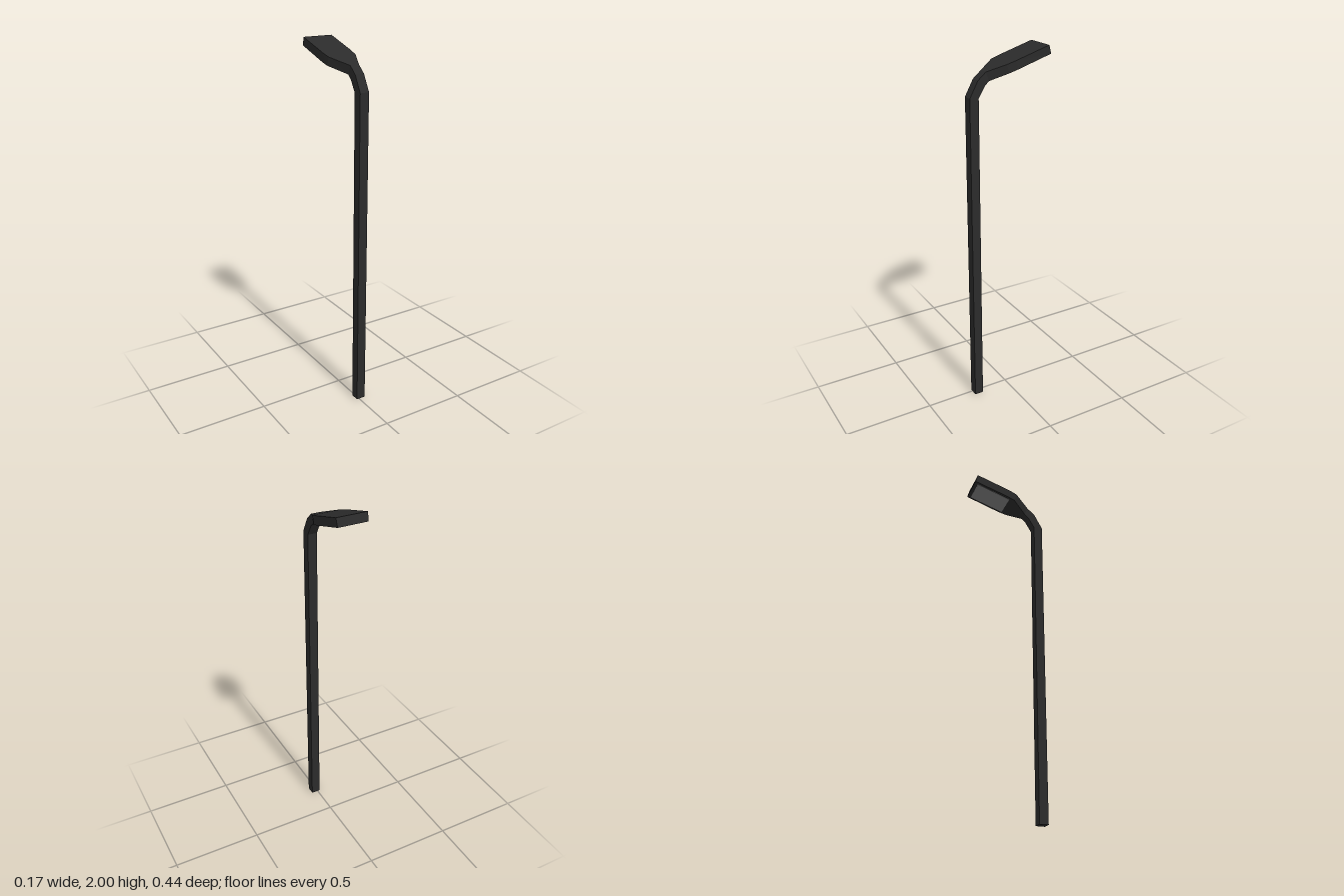
import * as THREE from 'three';

// Skin four-cornered sections: each is [outer z, y, x min, x max, inner z, y, x min, x max]
function loft(sections) {
  const rings = sections.map(([oz, oy, ol, or, iz, iy, il, ir]) => [
    [ol, oy, oz], [or, oy, oz], [ir, iy, iz], [il, iy, iz],
  ]);
  const pos = [];
  const quad = (a, b, c, d) => pos.push(...a, ...b, ...c, ...a, ...c, ...d);
  for (let i = 0; i < rings.length - 1; i++) {
    const a = rings[i], b = rings[i + 1];
    for (let k = 0; k < 4; k++) {
      const n = (k + 1) % 4;
      quad(a[k], a[n], b[n], b[k]);
    }
  }
  const s = rings[0], e = rings[rings.length - 1];
  quad(s[0], s[3], s[2], s[1]);
  quad(e[0], e[1], e[2], e[3]);
  const geo = new THREE.BufferGeometry();
  geo.setAttribute('position', new THREE.Float32BufferAttribute(pos, 3));
  geo.computeVertexNormals();
  return geo;
}

export function createModel() {
  const group = new THREE.Group();
  const metal = new THREE.MeshStandardMaterial({ color: 0x2b2b2b, flatShading: true });
  const glass = new THREE.MeshStandardMaterial({ color: 0x808080, flatShading: true });
  const add = (name, geo, mat) => {
    const mesh = new THREE.Mesh(geo, mat);
    mesh.name = name;
    group.add(mesh);
    return mesh;
  };

  // Square pole, bending over at the top
  const L = -0.014, R = 0.038;
  const neck = [0.13, 1.893, L, R, 0.112, 1.846, L, R];
  add('pole', loft([
    [0.222, 0, L, R, 0.172, 0, L, R],
    [0.222, 1.77, L, R, 0.172, 1.765, L, R],
    [0.175, 1.855, L, R, 0.135, 1.826, L, R],
    neck,
  ]), metal);

  // Flat lamp head flaring out from the neck
  add('lampHead', loft([
    neck,
    [0.034, 1.927, -0.08, 0.08, 0.02, 1.882, -0.08, 0.08],
    [-0.015, 1.942, -0.085, 0.085, -0.028, 1.8964, -0.084, 0.084],
    [-0.21, 2.0, -0.085, 0.085, -0.223, 1.955, -0.082, 0.082],
  ]), metal);

  // Light panel on the sloping underside
  const panel = add('lightPanel', new THREE.BoxGeometry(0.136, 0.004, 0.207), glass);
  panel.position.set(0, 1.9195, -0.105);
  panel.rotation.x = Math.atan(0.3);

  return group;
}
